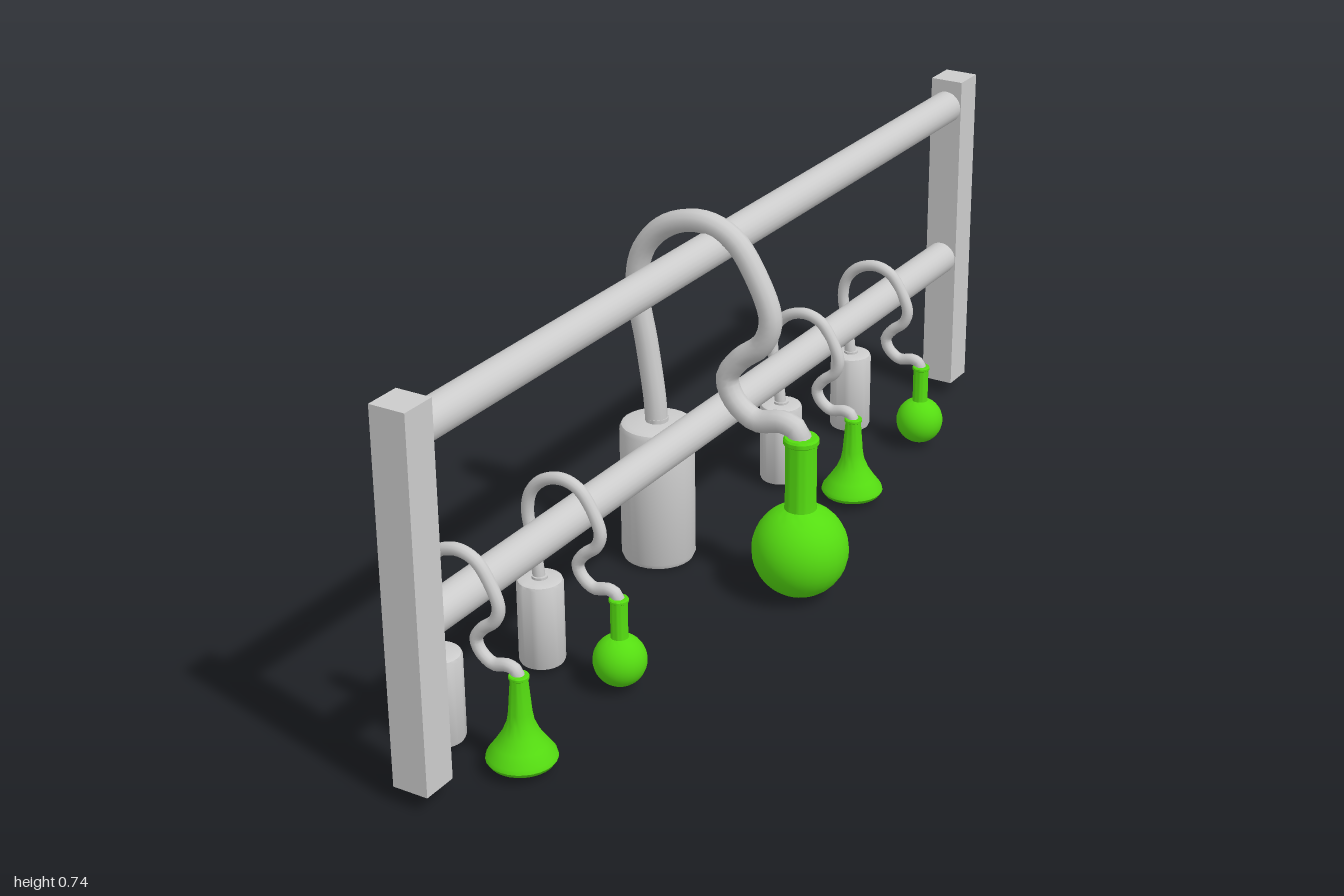
import * as THREE from 'three';
import { toCreasedNormals } from 'three/addons/utils/BufferGeometryUtils.js';

const grey = new THREE.MeshStandardMaterial({ color: 0xcccccc });
const green = new THREE.MeshStandardMaterial({ color: 0x55dd11 });
const RAIL_X = -0.045;

function add(parent, name, geometry, material, x = 0, y = 0, z = 0) {
  const mesh = new THREE.Mesh(geometry, material);
  mesh.name = name;
  mesh.position.set(x, y, z);
  parent.add(mesh);
  return mesh;
}

function lathe(profile, segments = 28) {
  const points = profile.map(([r, y]) => new THREE.Vector2(r, y));
  return toCreasedNormals(new THREE.LatheGeometry(points, segments), 0.6);
}

// Bent pipe centre line, at the size of the large set
const pipePath = new THREE.CatmullRomCurve3([
  [-0.17, 0.28], [-0.174, 0.34], [-0.19, 0.45], [-0.21, 0.57], [-0.193, 0.645], [-0.14, 0.7],
  [-0.065, 0.721], [0, 0.7], [0.05, 0.635], [0.081, 0.555], [0.065, 0.505], [0.015, 0.462],
  [-0.012, 0.42], [0.003, 0.378], [0.05, 0.346], [0.11, 0.356], [0.14, 0.345], [0.147, 0.32],
].map(([x, y]) => new THREE.Vector3(x, y, 0)));

// Rounded cylinder standing from y0 to y1
function weightGeometry(r, y0, y1, neck) {
  const c = r * 0.18;
  return lathe([
    [0, y0], [r - c, y0], [r - c * 0.3, y0 + c * 0.3], [r, y0 + c], [r, y1 - c * 1.1],
    [r - c * 0.3, y1 - c * 0.4], [r - c, y1 - c * 0.1], [neck, y1], [neck, y1 + c * 0.6], [0, y1 + c * 0.6],
  ]);
}

// Neck with a lip, shared by both flask types
const neckTop = [[0.03, 0.32], [0.034, 0.323], [0.034, 0.331], [0.031, 0.335], [0, 0.335]];

function roundFlask() {
  const profile = [[0, 0.01]];
  for (let i = 0; i <= 14; i++) {
    const a = THREE.MathUtils.lerp(-1.2, 1.23, i / 14);
    profile.push([0.093 * Math.cos(a), 0.1 + 0.093 * Math.sin(a)]);
  }
  return lathe([...profile, [0.03, 0.2], ...neckTop]);
}

function conicalFlask() {
  return lathe([
    [0, 0.01], [0.085, 0.01], [0.108, 0.02], [0.118, 0.035], [0.114, 0.05],
    [0.088, 0.085], [0.062, 0.125], [0.045, 0.165], [0.039, 0.2], [0.03, 0.31], ...neckTop,
  ]);
}

// Weight, pipe and flask hung over a rail
function hangingSet(name, z, small, conical) {
  const set = new THREE.Group();
  set.name = name;
  set.position.z = z;
  const s = small ? 0.53 : 1;
  const bent = new THREE.Group();
  bent.name = 'pipeAndFlask';
  bent.scale.setScalar(s);
  if (small) bent.position.set(-0.126 + 0.17 * s, 0.39 - 0.72 * s, 0);
  add(bent, 'bentPipe', new THREE.TubeGeometry(pipePath, 72, 0.022, 12), grey);
  add(bent, 'flask', conical ? conicalFlask() : roundFlask(), green, 0.148);
  set.add(bent);
  if (small) add(set, 'weight', weightGeometry(0.043, 0.01, 0.181, 0.015), grey, -0.126);
  else add(set, 'weight', weightGeometry(0.073, 0.002, 0.294, 0.022), grey, -0.17);
  return set;
}

export function createModel() {
  const model = new THREE.Group();
  model.name = 'flaskRack';

  // End posts
  for (const side of [-1, 1]) {
    add(model, side > 0 ? 'frontPost' : 'backPost',
      new THREE.BoxGeometry(0.07, 0.697, 0.07), grey, RAIL_X, 0.3825, side * 0.965);
  }

  // Rails between the posts
  for (const [name, y] of [['upperRail', 0.672], ['lowerRail', 0.328]]) {
    add(model, name, new THREE.CylinderGeometry(0.034, 0.034, 1.88, 24), grey, RAIL_X, y).rotation.x = Math.PI / 2;
  }

  // One large set on the upper rail, four small sets on the lower rail
  model.add(hangingSet('largeSet', 0.035, false, false));
  [[0.805, true], [0.5, false], [-0.37, true], [-0.672, false]].forEach(([z, conical], i) => {
    model.add(hangingSet('smallSet' + (i + 1), z, true, conical));
  });
  return model;
}
